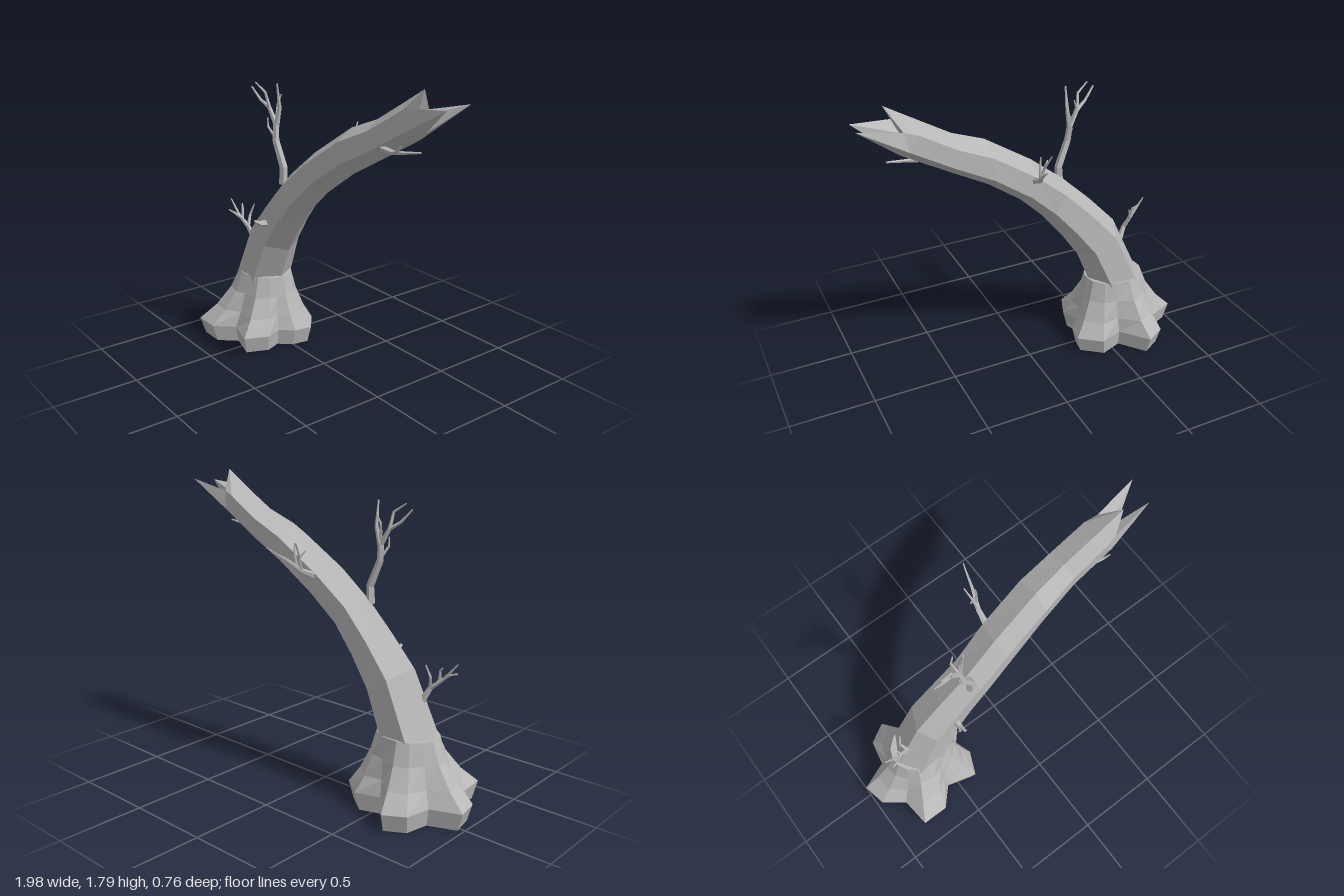
import * as THREE from 'three';

const V = (x, y, z) => new THREE.Vector3(x, y, z);

// Skin a list of rings (equal point counts) with faceted quads and fan caps.
function loft(rings, startCentre, endCentre) {
  const pos = [];
  const tri = (...pts) => pts.forEach((p) => pos.push(p.x, p.y, p.z));
  const n = rings[0].length;
  for (let k = 0; k < rings.length - 1; k++) {
    for (let i = 0; i < n; i++) {
      const j = (i + 1) % n;
      const [a, b, c, d] = [rings[k][i], rings[k][j], rings[k + 1][j], rings[k + 1][i]];
      tri(a, b, c);
      tri(a, c, d);
    }
  }
  const last = rings[rings.length - 1];
  for (let i = 0; i < n; i++) {
    const j = (i + 1) % n;
    if (startCentre) tri(startCentre, rings[0][j], rings[0][i]);
    if (endCentre) tri(endCentre, last[i], last[j]);
  }
  const g = new THREE.BufferGeometry();
  g.setAttribute('position', new THREE.Float32BufferAttribute(pos, 3));
  g.computeVertexNormals();
  return g;
}

// Tapered five-sided twig along a bent path.
function twig(path, r0, r1) {
  const pts = path.map((p) => V(...p));
  const rings = pts.map((p, k) => {
    const dir = pts[Math.min(k + 1, pts.length - 1)].clone().sub(pts[Math.max(k - 1, 0)]).normalize();
    const ref = Math.abs(dir.z) > 0.8 ? V(1, 0, 0) : V(0, 0, 1);
    const u = ref.cross(dir).normalize();
    const w = dir.clone().cross(u);
    const r = r0 + (r1 - r0) * k / (pts.length - 1);
    return Array.from({ length: 5 }, (_, i) => {
      const a = i / 5 * Math.PI * 2;
      return p.clone().addScaledVector(u, r * Math.cos(a)).addScaledVector(w, r * Math.sin(a));
    });
  });
  return loft(rings, pts[0], pts[pts.length - 1]);
}

function trunkGeometry() {
  // top x, top y, bottom x, bottom y, centre z, half width
  const stations = [
    [-0.82, 0.28, -0.43, 0.28, 0.03, 0.15],
    [-0.77, 0.42, -0.41, 0.45, 0.03, 0.145],
    [-0.59, 0.80, -0.33, 0.64, 0.03, 0.13],
    [-0.42, 0.98, -0.22, 0.80, 0.035, 0.118],
    [-0.24, 1.15, -0.10, 0.95, 0.04, 0.11],
    [-0.03, 1.32, 0.05, 1.10, 0.02, 0.115],
    [0.26, 1.51, 0.25, 1.25, -0.005, 0.11],
    [0.45, 1.585, 0.48, 1.38, -0.02, 0.095],
    [0.63, 1.69, 0.74, 1.525, -0.015, 0.09],
  ];
  const rings = stations.map(([tx, ty, bx, by, cz, hw]) => {
    const at = (t, z) => V(tx + (bx - tx) * t, ty + (by - ty) * t, cz + z);
    return [at(0, 0.02), at(0.25, hw), at(0.75, hw * 0.95), at(1, -0.01), at(0.75, -hw), at(0.25, -hw)];
  });
  // splintered end: three points and three notches
  rings.push([
    V(0.80, 1.79, 0.01), V(0.72, 1.69, 0.065), V(0.97, 1.715, 0.03),
    V(0.80, 1.575, -0.01), V(0.98, 1.73, -0.12), V(0.73, 1.67, -0.09),
  ]);
  return loft(rings, null, V(0.73, 1.64, -0.01));
}

function rootGeometry() {
  // lobed footprint (x, z) at its widest level
  const outline = [
    [-0.97, 0.11], [-0.85, 0.20], [-0.83, 0.38], [-0.67, 0.38], [-0.57, 0.27], [-0.39, 0.32],
    [-0.33, 0.18], [-0.37, 0.08], [-0.30, 0.00], [-0.28, -0.11], [-0.41, -0.21], [-0.55, -0.16],
    [-0.68, -0.32], [-0.80, -0.25], [-0.83, -0.10], [-1.00, -0.03],
  ];
  const cx = -0.61, cz = 0.025;
  // height, spread, blend towards the oval collar
  const levels = [[0, 0.92, 0], [0.105, 1, 0], [0.2, 1, 0.42], [0.32, 1, 0.78], [0.445, 1, 1]];
  const rings = levels.map(([y, s, t]) => outline.map(([x, z]) => {
    const a = Math.atan2(z - cz, x - cx);
    const ox = -0.59 + 0.185 * Math.cos(a), oz = cz + 0.155 * Math.sin(a);
    const px = cx + (x - cx) * s, pz = cz + (z - cz) * s;
    return V(px + (ox - px) * t, y, pz + (oz - pz) * t);
  }));
  return loft(rings, V(cx, 0, cz), V(-0.59, 0.445, cz));
}

export function createModel() {
  const bark = new THREE.MeshStandardMaterial({ color: 0xb8b8b8 });
  bark.name = 'greyBark';
  bark.flatShading = true;
  const model = new THREE.Group();
  model.name = 'brokenTree';
  const add = (name, geometry, parent = model) => {
    const m = new THREE.Mesh(geometry, bark);
    m.name = name;
    parent.add(m);
  };

  add('trunk', trunkGeometry());
  add('rootFlare', rootGeometry());

  // each branch: list of [path, start radius, end radius]
  const branches = {
    tallBranch: [
      [[[-0.245, 1.10, 0.11], [-0.24, 1.20, 0.11], [-0.30, 1.35, 0.12], [-0.31, 1.45, 0.11]], 0.027, 0.018],
      [[[-0.31, 1.42, 0.11], [-0.285, 1.54, 0.10], [-0.28, 1.68, 0.12]], 0.018, 0.005],
      [[[-0.31, 1.44, 0.11], [-0.36, 1.53, 0.12], [-0.42, 1.57, 0.14], [-0.48, 1.64, 0.16]], 0.016, 0.005],
      [[[-0.36, 1.53, 0.12], [-0.37, 1.62, 0.14], [-0.44, 1.67, 0.16]], 0.012, 0.004],
      [[[-0.31, 1.46, 0.11], [-0.33, 1.56, 0.08], [-0.31, 1.61, 0.07]], 0.01, 0.004],
      [[[-0.30, 1.36, 0.12], [-0.335, 1.43, 0.15], [-0.335, 1.48, 0.15]], 0.01, 0.004],
    ],
    lowBranch: [
      [[[-0.65, 0.63, 0.06], [-0.69, 0.71, 0.08], [-0.76, 0.77, 0.10], [-0.84, 0.865, 0.11]], 0.02, 0.004],
      [[[-0.69, 0.71, 0.08], [-0.71, 0.78, 0.05], [-0.69, 0.85, 0.03]], 0.012, 0.004],
      [[[-0.73, 0.75, 0.09], [-0.78, 0.79, 0.13], [-0.82, 0.80, 0.14]], 0.011, 0.004],
      [[[-0.74, 0.76, 0.09], [-0.75, 0.82, 0.08], [-0.77, 0.84, 0.07]], 0.01, 0.004],
    ],
    sideStub: [
      [[[-0.38, 0.83, 0.14], [-0.38, 0.835, 0.19], [-0.375, 0.86, 0.23]], 0.024, 0.008],
      [[[-0.38, 0.835, 0.18], [-0.40, 0.83, 0.21]], 0.012, 0.005],
    ],
    backBranch: [
      [[[0.01, 1.25, -0.08], [0.02, 1.29, -0.17], [0.05, 1.36, -0.26], [0.08, 1.44, -0.38]], 0.02, 0.004],
      [[[0.02, 1.30, -0.18], [0.01, 1.37, -0.20], [-0.01, 1.46, -0.25]], 0.011, 0.004],
      [[[0.01, 1.37, -0.20], [-0.02, 1.41, -0.18]], 0.008, 0.004],
      [[[0.03, 1.32, -0.20], [0.04, 1.39, -0.21], [0.035, 1.45, -0.21]], 0.009, 0.004],
    ],
    upperBranch: [
      [[[0.55, 1.46, 0.05], [0.62, 1.45, 0.04], [0.70, 1.462, 0.035], [0.80, 1.48, 0.02]], 0.018, 0.005],
      [[[0.63, 1.45, 0.04], [0.68, 1.475, 0.06], [0.71, 1.50, 0.07]], 0.011, 0.004],
    ],
  };
  for (const [name, parts] of Object.entries(branches)) {
    const g = new THREE.Group();
    g.name = name;
    parts.forEach((p, i) => add(i ? 'twig' : 'limb', twig(...p), g));
    model.add(g);
  }
  return model;
}
